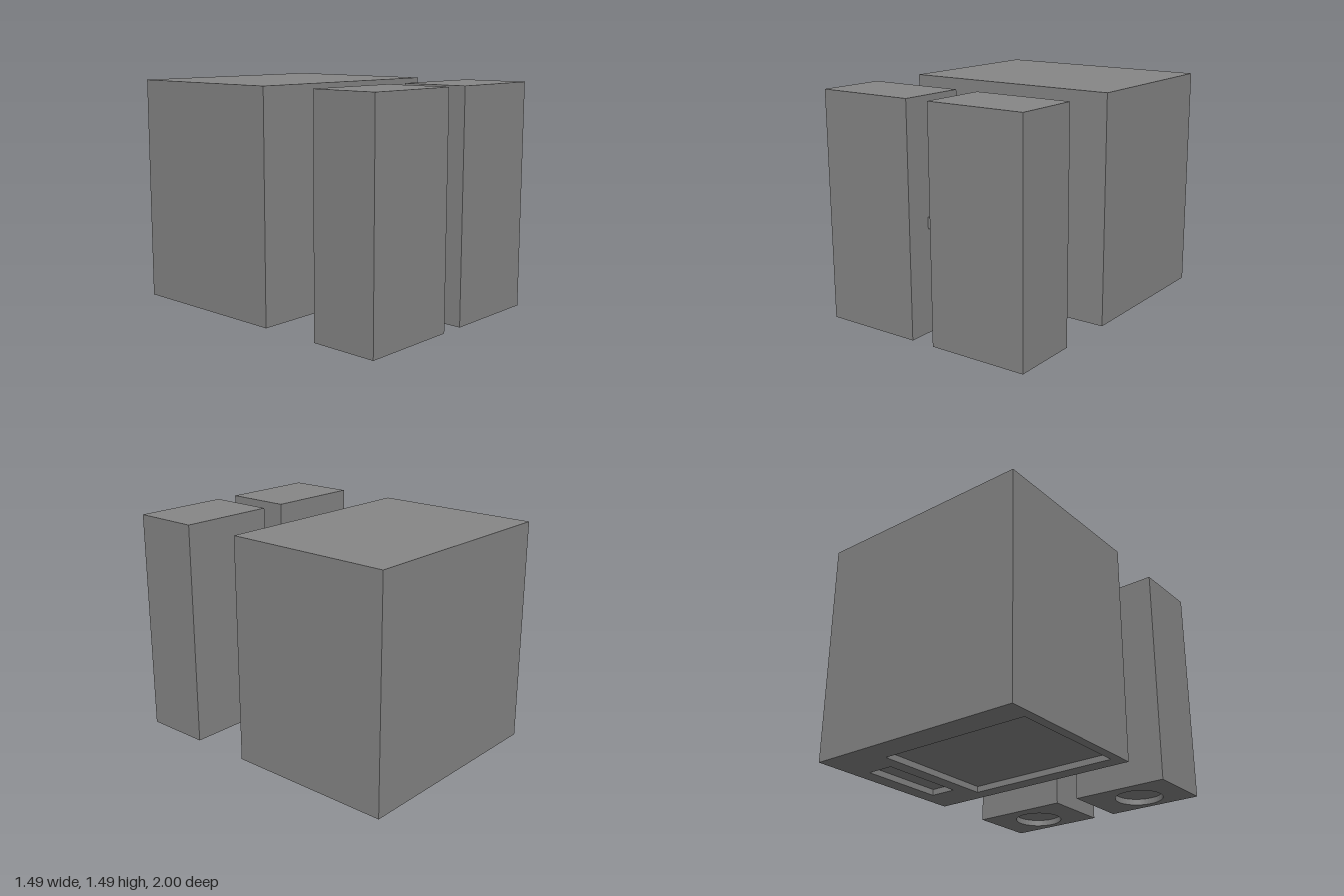
import * as THREE from 'three';
import { mergeGeometries } from 'three/addons/utils/BufferGeometryUtils.js';

const HEIGHT = 1.485;
const HALF = 0.7425; // half the width of the model
const DEPTH = 0.04; // depth of the pockets in the undersides
const material = new THREE.MeshStandardMaterial({ color: 0x868686, flatShading: true });

// Corner loops in the ground plane (x, z)
const rect = (x0, x1, z0, z1) =>
  [[x0, z0], [x1, z0], [x1, z1], [x0, z1]].map(([x, z]) => new THREE.Vector2(x, z));

const circle = (x, z, r, n = 40) => Array.from({ length: n }, (_, i) => {
  const a = (i / n) * Math.PI * 2;
  return new THREE.Vector2(x + r * Math.cos(a), z + r * Math.sin(a));
});

function boxGeometry(x0, x1, y0, y1, z0, z1) {
  return new THREE.BoxGeometry(x1 - x0, y1 - y0, z1 - z0)
    .translate((x0 + x1) / 2, (y0 + y1) / 2, (z0 + z1) / 2);
}

// Flat face looking down at height y
const downFace = (shape, y) => new THREE.ShapeGeometry(shape).rotateX(Math.PI / 2).translate(0, y, 0);

// Inward-facing side walls of a pocket
function pocketWalls(loop) {
  const pos = [];
  loop.forEach((a, i) => {
    const b = loop[(i + 1) % loop.length];
    pos.push(a.x, 0, a.y, b.x, 0, b.y, b.x, DEPTH, b.y);
    pos.push(a.x, 0, a.y, b.x, DEPTH, b.y, a.x, DEPTH, a.y);
  });
  const g = new THREE.BufferGeometry();
  g.setAttribute('position', new THREE.Float32BufferAttribute(pos, 3));
  g.computeVertexNormals();
  return g;
}

// Block standing on the ground with shallow pockets in its underside
function pocketedBlock(x0, x1, z0, z1, loops) {
  const shell = boxGeometry(x0, x1, 0, HEIGHT, z0, z1);
  const index = Array.from(shell.index.array);
  index.splice(18, 6); // drop the plain underside
  shell.setIndex(index);

  const underside = new THREE.Shape(rect(x0, x1, z0, z1));
  underside.holes = loops.map((l) => new THREE.Path(l));

  const pieces = [shell, downFace(underside, 0)];
  for (const loop of loops) {
    pieces.push(pocketWalls(loop), downFace(new THREE.Shape(loop), DEPTH));
  }
  return mergeGeometries(pieces.map((p) => {
    const g = p.index ? p.toNonIndexed() : p;
    g.deleteAttribute('uv');
    return g;
  }));
}

export function createModel() {
  const group = new THREE.Group();
  const add = (name, geometry) => {
    const mesh = new THREE.Mesh(geometry, material);
    mesh.name = name;
    group.add(mesh);
  };

  // Large rear block with a wide pocket and a narrow slot underneath
  add('rearBlock', pocketedBlock(-HALF, HALF, -1, 0.135, [
    rect(-0.68, 0.36, -0.815, 0.033),
    rect(0.455, 0.635, -0.68, -0.1),
  ]));

  // Pair of front blocks, each with a round pocket underneath
  for (const [name, s] of [['leftFrontBlock', 1], ['rightFrontBlock', -1]]) {
    const xs = [0.08 * s, HALF * s].sort((a, b) => a - b);
    add(name, pocketedBlock(xs[0], xs[1], 0.545, 1, [circle(0.42 * s, 0.79, 0.16)]));
  }

  // Square bar joining the front blocks to the rear block
  add('connector', boxGeometry(-0.26, 0.26, 0.483, 1.003, 0.135, 0.545));

  // Thin tab between the front blocks
  add('tab', boxGeometry(-0.08, 0.08, 0.67, 0.742, 0.54, 0.833));

  return group;
}
